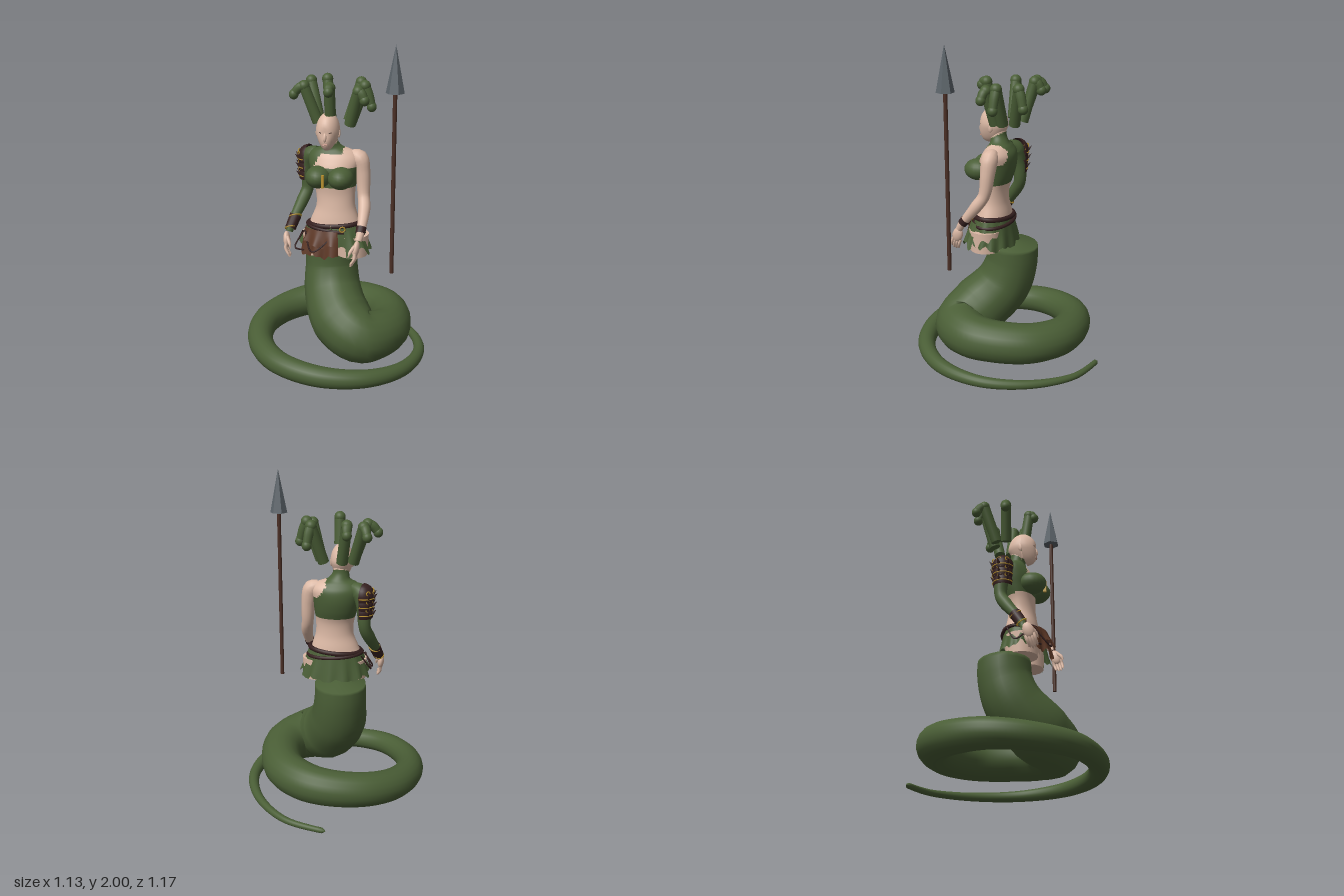
import * as THREE from 'three';

const mat = (name, color, side = THREE.FrontSide) => {
  const m = new THREE.MeshStandardMaterial({ color, side });
  m.name = name;
  return m;
};
const V = (p) => new THREE.Vector3(p[0], p[1], p[2]);

export function createModel() {
  const green = mat('scale green', 0x4a5e36, THREE.DoubleSide);
  const skin = mat('skin', 0xdcb9a5);
  const leather = mat('brown leather', 0x5d3826, THREE.DoubleSide);
  const maroon = mat('dark maroon', 0x35201f, THREE.DoubleSide);
  const gold = mat('gold', 0xb8922f);
  const wood = mat('spear wood', 0x4b2f25);
  const steel = mat('steel', 0x5d656b);
  steel.flatShading = true;
  const dark = mat('eye dark', 0x3a2a24);
  const lip = mat('lips', 0xc89c8c);

  const model = new THREE.Group();
  const add = (name, geo, material, pos = [0, 0, 0], scale = [1, 1, 1], rot = [0, 0, 0], parent = model) => {
    const m = new THREE.Mesh(geo, material);
    m.name = name;
    m.position.set(...pos);
    m.scale.set(...scale);
    m.rotation.set(...rot);
    parent.add(m);
    return m;
  };
  const ball = new THREE.SphereGeometry(1, 20, 14);

  // tube through [x, y, z, radius] points
  const sweep = (pts, seg, sides) => {
    const curve = new THREE.CatmullRomCurve3(pts.map(V));
    const geo = new THREE.TubeGeometry(curve, seg, 1, sides, false);
    const p = geo.attributes.position, n = geo.attributes.normal, v = new THREE.Vector3(), w = new THREE.Vector3();
    for (let i = 0; i <= seg; i++) {
      const c = curve.getPointAt(i / seg);
      const t = curve.getUtoTmapping(i / seg) * (pts.length - 1);
      const k = Math.min(Math.floor(t), pts.length - 2);
      const r = THREE.MathUtils.lerp(pts[k][3], pts[k + 1][3], t - k);
      for (let j = 0; j <= sides; j++) {
        const q = i * (sides + 1) + j;
        v.fromBufferAttribute(p, q).sub(c).multiplyScalar(r).add(c);
        p.setXYZ(q, v.x, v.y, v.z);
      }
    }
    geo.computeVertexNormals();
    for (let i = 0; i <= seg; i++) { // smooth the lengthwise seam
      const a = i * (sides + 1), b = a + sides;
      v.fromBufferAttribute(n, a).add(w.fromBufferAttribute(n, b)).normalize();
      n.setXYZ(a, v.x, v.y, v.z);
      n.setXYZ(b, v.x, v.y, v.z);
    }
    return geo;
  };

  // body of elliptical rings [y, cx, cz, rx, rz]; pick(x, y, z) gives the material index
  const loft = (rings, M, N, pick) => {
    const size = new THREE.CatmullRomCurve3(rings.map((r) => new THREE.Vector3(r[3], r[0], r[4])), false, 'catmullrom');
    const mid = new THREE.CatmullRomCurve3(rings.map((r) => new THREE.Vector3(r[1], r[0], r[2])), false, 'catmullrom');
    const pos = [], faces = [[], []];
    for (let j = 0; j <= M; j++) {
      const s = size.getPoint(j / M), c = mid.getPoint(j / M);
      for (let i = 0; i < N; i++) {
        const a = (i / N) * Math.PI * 2;
        pos.push(c.x + s.x * Math.sin(a), s.y, c.z + s.z * Math.cos(a));
      }
    }
    for (let j = 0; j < M; j++) for (let i = 0; i < N; i++) {
      const a = j * N + i, b = j * N + (i + 1) % N, c = b + N, d = a + N;
      const at = (k) => (pos[a * 3 + k] + pos[c * 3 + k]) / 2;
      faces[pick(at(0), at(1), at(2))].push(a, b, c, a, c, d);
    }
    const geo = new THREE.BufferGeometry();
    geo.setAttribute('position', new THREE.Float32BufferAttribute(pos, 3));
    geo.setIndex([...faces[0], ...faces[1]]);
    geo.addGroup(0, faces[0].length, 0);
    geo.addGroup(faces[0].length, faces[1].length, 1);
    geo.computeVertexNormals();
    return geo;
  };

  // coiled serpent body
  add('serpentBody', sweep([
    [-0.035, 0.752, -0.006, 0.001], [-0.035, 0.745, -0.005, 0.15], [-0.035, 0.73, -0.003, 0.158], [-0.033, 0.6, 0.005, 0.163],
    [-0.012, 0.45, 0.06, 0.178], [0.07, 0.315, 0.18, 0.19], [0.2, 0.245, 0.25, 0.165], [0.32, 0.235, 0.145, 0.14], [0.345, 0.23, 0, 0.128],
    [0.28, 0.22, -0.22, 0.122], [0.13, 0.21, -0.35, 0.117], [-0.04, 0.2, -0.388, 0.11], [-0.24, 0.185, -0.345, 0.104],
    [-0.4, 0.165, -0.21, 0.096], [-0.478, 0.15, 0, 0.087], [-0.435, 0.13, 0.24, 0.077], [-0.27, 0.115, 0.44, 0.07],
    [0, 0.095, 0.523, 0.063], [0.27, 0.08, 0.465, 0.054], [0.46, 0.065, 0.28, 0.045], [0.528, 0.053, 0, 0.035],
    [0.44, 0.04, -0.28, 0.027], [0.23, 0.027, -0.5, 0.02], [-0.02, 0.018, -0.575, 0.016], [-0.025, 0.018, -0.577, 0.001],
  ], 190, 18), green);

  // torso with painted bodice, back and sleeve root
  add('torso', loft([
    [0.78, 0.01, 0.1, 0.16, 0.1], [0.86, 0.01, 0.1, 0.172, 0.108], [0.94, 0.012, 0.1, 0.145, 0.1],
    [1.02, 0.015, 0.1, 0.118, 0.087], [1.1, 0.012, 0.095, 0.118, 0.085], [1.18, 0.005, 0.085, 0.133, 0.102],
    [1.25, 0, 0.08, 0.147, 0.11], [1.31, 0, 0.07, 0.155, 0.095], [1.35, -0.005, 0.07, 0.128, 0.07],
    [1.375, -0.015, 0.075, 0.07, 0.055], [1.41, -0.025, 0.085, 0.05, 0.049], [1.45, -0.025, 0.09, 0.046, 0.05],
  ], 72, 64, (x, y, z) => {
    const collar = y > 1.345 && y < 1.415 + (0.09 - z) * 0.5 && Math.abs(x + 0.025) < 0.085;
    const back = z < 0.08 && y > 1.13 && y < 1.4 && x < 0.16 - Math.max(0, y - 1.2) * 0.75;
    const shoulder = y > 1.25 && y < 1.4 && x < -0.06 - (1.36 - y) * 0.5;
    const band = y > 1.15 && y < 1.27;
    return collar || back || shoulder || band ? 1 : 0;
  }), [skin, green]);
  for (const [x, z] of [[-0.073, 0.178], [0.063, 0.182]])
    add('bodiceCup', ball, green, [x, 1.212, z], [0.076, 0.066, 0.088]);
  add('bodiceClasp', new THREE.BoxGeometry(0.014, 0.075, 0.02), gold, [-0.03, 1.205, 0.25]);
  add('navel', ball, lip, [0.01, 0.985, 0.186], [0.004, 0.007, 0.003]);
  for (const x of [-0.085, 0.12])
    add('thigh', new THREE.CylinderGeometry(0.1, 0.094, 0.13, 20), skin, [x, 0.79, 0.115]);

  // head shaped from a sphere: narrow jaw, flattened face
  const head = new THREE.Group();
  head.name = 'head';
  head.position.set(-0.028, 1.475, 0.115);
  model.add(head);
  const skull = new THREE.SphereGeometry(1, 28, 22);
  const sp = skull.attributes.position;
  for (let i = 0; i < sp.count; i++) {
    let x = sp.getX(i), y = sp.getY(i), z = sp.getZ(i);
    const low = Math.max(0, -y);
    x *= 1 - 0.28 * low;
    if (z < 0) z *= 1 - 0.45 * low;
    else z = Math.min(z, 0.93) * (1 + 0.12 * low) + 0.28 * low * low;
    sp.setXYZ(i, x * 0.07, y * 0.11, z * 0.09);
  }
  skull.computeVertexNormals();
  add('skull', skull, skin, [0, 0, 0], [1, 1, 1], [0, 0, 0], head);
  add('nose', ball, skin, [0, -0.02, 0.082], [0.011, 0.028, 0.014], [-0.3, 0, 0], head);
  add('upperLip', ball, lip, [0, -0.061, 0.085], [0.018, 0.004, 0.006], [0, 0, 0], head);
  add('lowerLip', ball, lip, [0, -0.069, 0.085], [0.015, 0.004, 0.006], [0, 0, 0], head);
  for (const s of [-1, 1]) {
    add('eye', ball, dark, [s * 0.028, 0.006, 0.078], [0.01, 0.004, 0.004], [0, s * 0.35, s * 0.12], head);
    add('ear', ball, skin, [s * 0.066, -0.01, -0.005], [0.007, 0.026, 0.014], [-0.2, s * 0.3, 0], head);
  }

  // serpent hair: thick straight neck from base to top, then a drooping head
  const hair = [
    [[-0.115, 1.505, -0.035], [-0.18, 1.73, -0.1], [-0.205, 1.68, -0.145]],
    [[-0.05, 1.505, -0.06], [-0.085, 1.74, -0.12], [-0.09, 1.69, -0.16]],
    [[0.06, 1.505, -0.05], [0.125, 1.73, -0.1], [0.145, 1.62, -0.135]],
    [[0.085, 1.505, 0.015], [0.17, 1.73, 0.02], [0.212, 1.61, 0.025]],
    [[0.09, 1.505, 0.06], [0.145, 1.71, 0.095], [0.185, 1.66, 0.11]],
    [[-0.11, 1.505, 0.025], [-0.19, 1.72, 0.04], [-0.25, 1.67, 0.05]],
    [[-0.012, 1.575, 0.13], [-0.01, 1.735, 0.155], [-0.01, 1.715, 0.185]],
  ];
  for (const [a, b, c] of hair) {
    const g = new THREE.Group();
    g.name = 'hairSerpent';
    model.add(g);
    const up = V(b).sub(V(a));
    const neck = add('neck', new THREE.CylinderGeometry(0.032, 0.034, up.length(), 12), green, undefined, undefined, undefined, g);
    neck.position.copy(V(a)).addScaledVector(up, 0.5);
    neck.quaternion.setFromUnitVectors(new THREE.Vector3(0, 1, 0), up.normalize());
    add('bend', ball, green, b, [0.034, 0.034, 0.034], undefined, g);
    add('droop', sweep([[...b, 0.03], [(b[0] + c[0]) / 2, (b[1] + c[1]) / 2 + 0.012, (b[2] + c[2]) / 2, 0.029], [...c, 0.025]], 10, 10), green, undefined, undefined, undefined, g);
    add('serpentHead', ball, green, c, [0.029, 0.031, 0.03], undefined, g);
  }

  // arms, cuffs and hands
  const hand = (pos, side) => {
    const g = new THREE.Group();
    g.name = side > 0 ? 'leftHand' : 'rightHand';
    g.position.set(...pos);
    g.rotation.set(-0.3, 0, side * -0.12);
    model.add(g);
    add('palm', ball, skin, [0, -0.005, 0], [0.02, 0.05, 0.033], undefined, g);
    for (let i = 0; i < 4; i++) {
      const z = -0.024 + i * 0.016, len = 0.065 + 0.012 * Math.sin(i);
      add('finger', sweep([[0, -0.03, z, 0.01], [side * 0.004, -0.06, z, 0.009],
        [-side * 0.014, -0.035 - len, z * 0.9, 0.007], [-side * 0.015, -0.038 - len, z * 0.9, 0.001]], 8, 7), skin, undefined, undefined, undefined, g);
    }
    add('thumb', sweep([[-side * 0.008, 0.01, 0.018, 0.012], [-side * 0.025, -0.03, 0.036, 0.01],
      [-side * 0.03, -0.06, 0.038, 0.002]], 8, 7), skin, undefined, undefined, undefined, g);
  };
  add('leftArm', sweep([[0.1, 1.335, 0.065, 0.03], [0.15, 1.31, 0.07, 0.053], [0.172, 1.23, 0.075, 0.045], [0.183, 1.09, 0.095, 0.036],
    [0.195, 1.02, 0.14, 0.037], [0.192, 0.9, 0.235, 0.024], [0.185, 0.86, 0.26, 0.022]], 32, 14), skin);
  add('rightArm', sweep([[-0.1, 1.33, 0.05, 0.035], [-0.15, 1.305, 0.03, 0.055], [-0.172, 1.23, 0.015, 0.046], [-0.182, 1.09, 0.008, 0.037],
    [-0.205, 1.02, 0.045, 0.038], [-0.25, 0.9, 0.13, 0.026], [-0.262, 0.85, 0.155, 0.022]], 32, 14), green);
  hand([0.175, 0.82, 0.275], 1);
  hand([-0.27, 0.815, 0.185], -1);
  add('leftCuff', sweep([[0.193, 0.93, 0.211, 0.031], [0.191, 0.9, 0.235, 0.029]], 4, 14), maroon);
  add('rightCuff', sweep([[-0.235, 0.938, 0.103, 0.037], [-0.257, 0.868, 0.146, 0.033]], 4, 14), maroon);
  for (const [p, r] of [[[-0.236, 0.934, 0.106], 0.036], [[-0.256, 0.872, 0.144], 0.033]])
    add('cuffTrim', new THREE.TorusGeometry(r, 0.004, 6, 20), gold, p, undefined, [Math.PI / 2 - 0.55, 0.25, 0]);

  // layered shoulder guard facing outward and slightly back
  const guard = new THREE.Group();
  guard.name = 'shoulderGuard';
  guard.position.set(-0.17, 1.262, 0.018);
  guard.rotation.y = -0.3;
  model.add(guard);
  const shell = new THREE.SphereGeometry(1, 20, 8, -Math.PI * 0.52, Math.PI * 1.04, 0, Math.PI * 0.62);
  for (let i = 0; i < 3; i++) {
    const y = 0.025 - i * 0.052, r = 0.068 - i * 0.003;
    add('plate', shell, maroon, [0, y, 0], [r, 0.078, r], undefined, guard);
    add('plateTrim', new THREE.TorusGeometry(r, 0.0035, 6, 20, Math.PI), gold, [0, y - 0.006, 0], undefined, [Math.PI / 2, 0, Math.PI / 2], guard);
    for (const a of [-0.7, 0.1, 0.9]) {
      const x = -Math.cos(a) * r, z = Math.sin(a) * r;
      add('spike', new THREE.ConeGeometry(0.013, 0.04, 5), maroon, [x * 1.1, y + 0.012, z * 1.1], undefined, [0, a, 0.8], guard);
      add('goldScroll', new THREE.TorusGeometry(0.012, 0.0035, 5, 12, 4.5), gold, [x * 0.95, y + 0.03, z * 0.95], undefined, [0, a - Math.PI / 2, 0], guard);
    }
  }

  // cloth pieces: open flared cylinders with a ragged hem, hanging lower by drop at the back
  const cloth = (top, bottom, h, start, span, rag, freq, drop = 0) => {
    const geo = new THREE.CylinderGeometry(top, bottom, h, 64, 4, true, start, span);
    const p = geo.attributes.position;
    for (let i = 0; i < p.count; i++) {
      const k = 0.5 - p.getY(i) / h, a = Math.atan2(p.getX(i), p.getZ(i));
      const w = 1 + 0.05 * k * Math.sin(a * 13);
      const hem = rag * (Math.sin(a * freq) + 0.6 * Math.sin(a * freq * 2.3 + 1)) + drop * Math.cos(a);
      p.setXYZ(i, p.getX(i) * w, p.getY(i) + k * hem, p.getZ(i) * w);
    }
    geo.computeVertexNormals();
    return geo;
  };
  add('skirt', cloth(0.164, 0.215, 0.15, 0, Math.PI * 2, 0.013, 8, 0.028), green, [0.012, 0.841, 0.1], [1, 1, 0.64]);
  add('sidePanel', cloth(0.18, 0.237, 0.13, 0.45, 0.75, 0.02, 9), green, [0.012, 0.835, 0.1], [1, 1, 0.74]);
  add('leatherApron', cloth(0.178, 0.215, 0.15, -1.15, 1.45, 0.012, 11), leather, [0.005, 0.822, 0.1], [1, 1, 0.84]);
  add('leatherFlap', cloth(0.185, 0.225, 0.085, -0.75, 1.0, 0.01, 7), leather, [0.005, 0.86, 0.1], [1, 1, 0.85]);

  // belts, buckle and hanging cords
  const belt = (y, rx, rz, r, tilt) => {
    const pts = [];
    for (let i = 0; i <= 16; i++) {
      const a = (i / 16) * Math.PI * 2;
      pts.push([0.012 + rx * Math.sin(a), y + tilt * Math.sin(a), 0.1 + rz * Math.cos(a), r]);
    }
    return sweep(pts, 48, 8);
  };
  add('upperBelt', belt(0.918, 0.157, 0.109, 0.015, 0.012), maroon);
  add('lowerBelt', belt(0.89, 0.17, 0.118, 0.011, -0.012), maroon);
  add('buckle', new THREE.TorusGeometry(0.016, 0.004, 6, 16), gold, [0.08, 0.908, 0.218], undefined, [0, 0.4, 0]);
  for (const [a, b, c] of [
    [[-0.15, 0.88, 0.2], [-0.09, 0.78, 0.285], [0.03, 0.87, 0.27]],
    [[-0.165, 0.87, 0.17], [-0.215, 0.77, 0.2], [-0.15, 0.77, 0.24]],
    [[-0.16, 0.89, 0.04], [-0.215, 0.79, 0.1], [-0.17, 0.87, 0.18]],
  ]) add('cord', sweep([[...a, 0.005], [...b, 0.005], [...c, 0.005]], 20, 6), maroon);

  // spear
  add('spearShaft', new THREE.CylinderGeometry(0.012, 0.012, 1.08, 12), wood, [0.38, 1.21, 0.237]);
  add('spearHead', new THREE.ConeGeometry(0.053, 0.265, 6), steel, [0.38, 1.8675, 0.237], undefined, [0, Math.PI / 6, 0]);

  return model;
}
